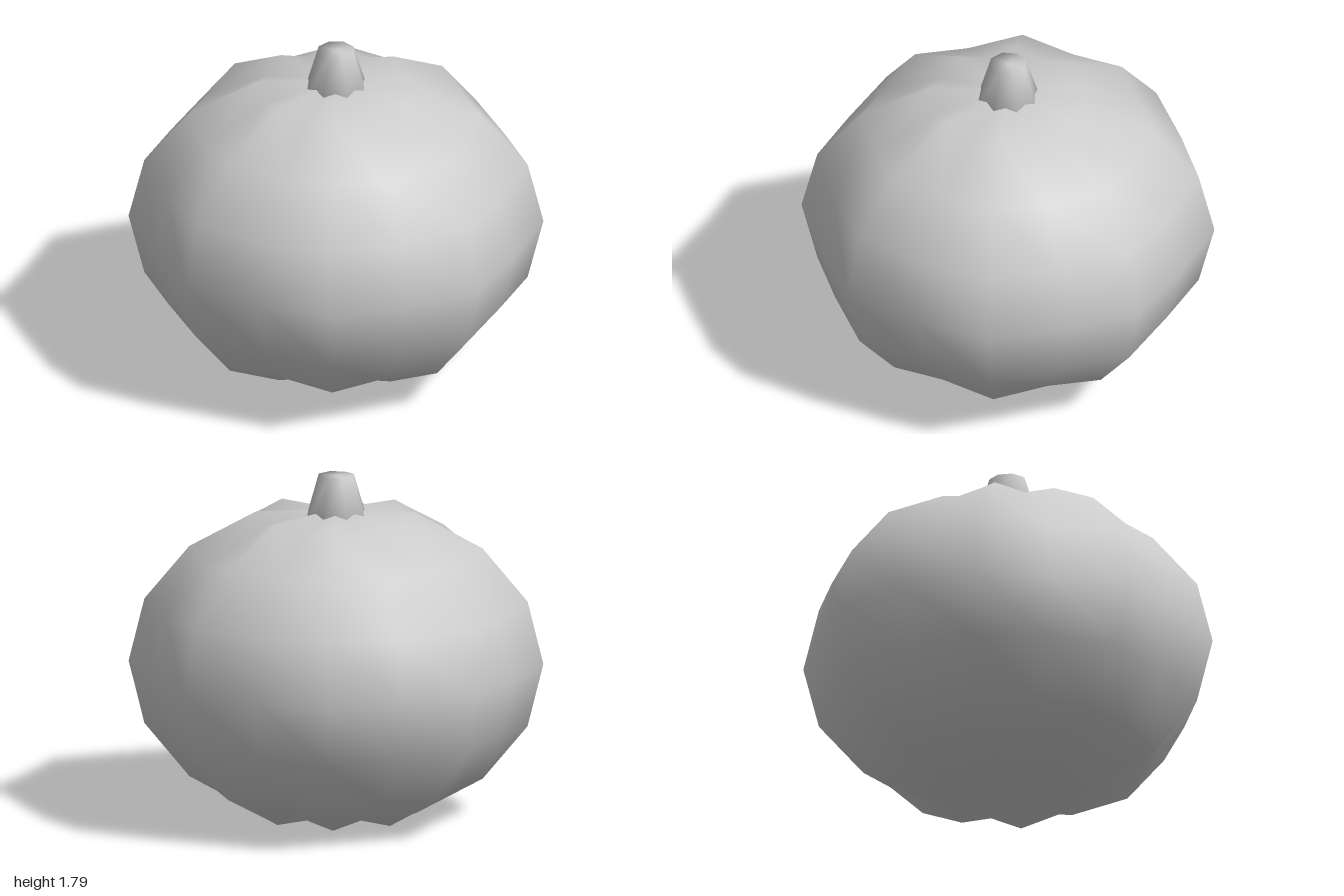
import * as THREE from 'three';
import { mergeVertices } from 'three/addons/utils/BufferGeometryUtils.js';

// Welds all corners so that the surface shades smoothly
function weld(geometry) {
  geometry.deleteAttribute('uv');
  geometry.deleteAttribute('normal');
  const welded = mergeVertices(geometry, 1e-4);
  welded.computeVertexNormals();
  return welded;
}

export function createModel() {
  const group = new THREE.Group();
  group.name = 'pumpkin';
  const material = new THREE.MeshStandardMaterial({ color: 0xcccccc });

  // Body: a squashed sphere with eight ribs, every second meridian pushed out
  const halfHeight = 0.806;
  const ball = new THREE.SphereGeometry(1, 16, 8);
  const p = ball.attributes.position;
  for (let i = 0; i < p.count; i++) {
    const x = p.getX(i), y = p.getY(i), z = p.getZ(i);
    const step = Math.round(Math.atan2(z, x) / (Math.PI / 8));
    const onAxis = Math.hypot(x, z) < 1e-4;
    const s = !onAxis && Math.abs(step) % 2 === 1 ? 1.06 : 1;
    p.setXYZ(i, onAxis ? 0 : x * s, y * s * halfHeight, onAxis ? 0 : z * s);
  }
  const body = new THREE.Mesh(weld(ball), material);
  body.name = 'body';
  body.position.y = halfHeight + 0.003;
  group.add(body);

  // Stem: a tapered eight-sided stub sunk into the top
  const stem = new THREE.Mesh(weld(new THREE.CylinderGeometry(0.097, 0.172, 0.25, 8)), material);
  stem.name = 'stem';
  stem.position.y = 1.79 - 0.125;
  group.add(stem);

  return group;
}
